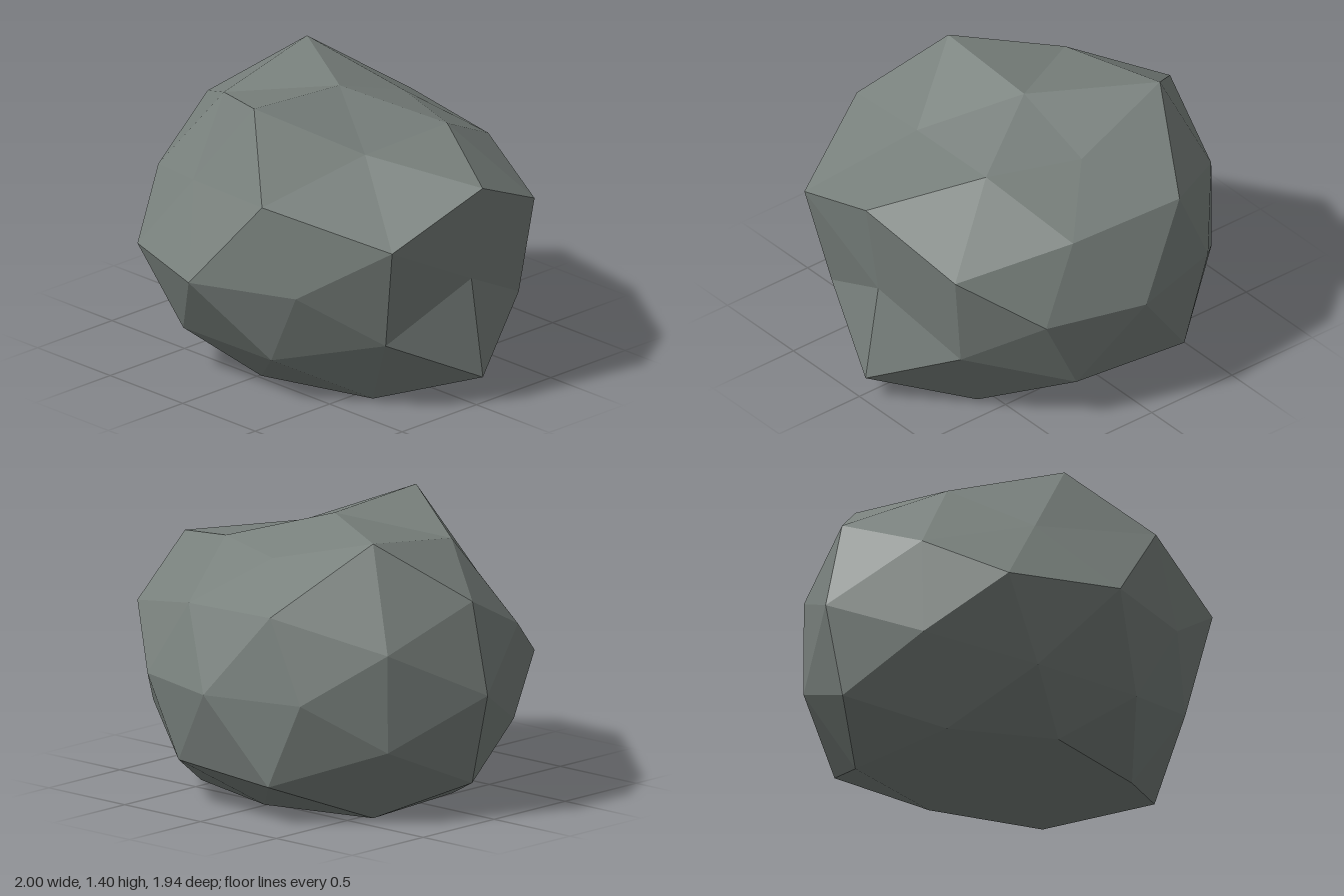
import * as THREE from 'three';

// Radius of each boulder corner, grouped by the kind of direction it lies in.
// Within a group the order is by sign (+ before -), x first, then y, then z.
const radii = {
  '1.0,0.0': [0.87, 0.966], // side corners
  '0.0,1.0': [0.883, 0.9], // top and underside
  '0.0,0.0': [1.015, 0.925], // front and back
  '0.5,0.0': [0.935, 0.917, 0.98, 0.918],
  '0.0,0.9': [1.093, 0.83, 1.0, 0.94],
  '0.9,0.5': [1.11, 1.112, 1.023, 1.02],
  '0.3,0.5': [1.055, 0.89, 0.93, 0.952, 0.875, 0.98, 0.935, 1.01],
  '0.8,0.3': [1.09, 0.99, 0.955, 0.91, 0.92, 0.928, 0.9, 0.93],
  '0.5,0.8': [0.86, 0.885, 1.12, 1.084, 0.95, 1.09, 0.957, 1.09],
};

function cornerRadius(dir) {
  const key = `${Math.abs(dir.x).toFixed(1)},${Math.abs(dir.y).toFixed(1)}`;
  let index = 0;
  for (const c of dir.toArray()) {
    if (Math.abs(c) > 0.01) index = index * 2 + (c < 0 ? 1 : 0);
  }
  return radii[key][index];
}

export function createModel() {
  const stone = new THREE.MeshStandardMaterial({ color: 0x78807c, flatShading: true });
  stone.name = 'greyStone';

  // Faceted ball, squashed, with uneven corners and a flat underside
  const geometry = new THREE.IcosahedronGeometry(1, 1).rotateX(Math.PI / 2);
  const position = geometry.attributes.position;
  const scale = new THREE.Vector3(1.045, 0.838, 1);
  const centre = new THREE.Vector3(0.01, 0.62, -0.045);
  const p = new THREE.Vector3();
  for (let i = 0; i < position.count; i++) {
    p.fromBufferAttribute(position, i);
    p.multiplyScalar(cornerRadius(p)).multiply(scale).add(centre);
    position.setXYZ(i, p.x, Math.max(p.y, 0), p.z);
  }
  geometry.computeVertexNormals();

  const boulder = new THREE.Mesh(geometry, stone);
  boulder.name = 'boulder';
  const group = new THREE.Group();
  group.name = 'rock';
  group.add(boulder);
  return group;
}
